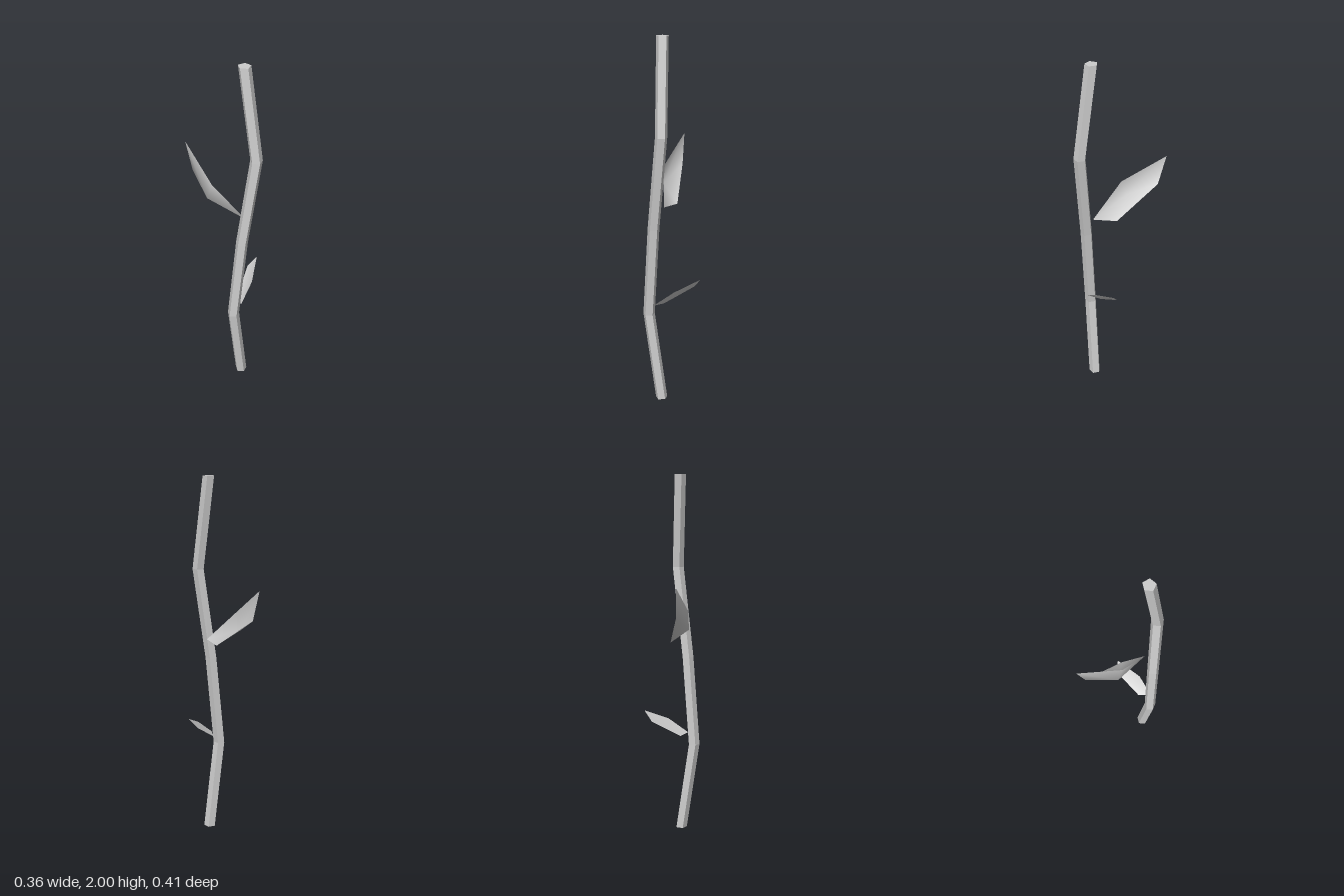
import * as THREE from 'three';

const V = (x, y, z) => new THREE.Vector3(x, y, z);

// Five-sided stem whose level rings follow a crooked centre line
function makeStem(centres, radius) {
  const geo = new THREE.CylinderGeometry(radius, radius, 2, 5, centres.length - 1, false, Math.PI / 2);
  geo.translate(0, 1, 0);
  const pos = geo.attributes.position;
  for (let i = 0; i < pos.count; i++) {
    const [x, z] = centres[Math.round(pos.getY(i) / 2 * (centres.length - 1))];
    pos.setX(i, pos.getX(i) + x);
    pos.setZ(i, pos.getZ(i) + z);
  }
  geo.computeVertexNormals();
  const mesh = new THREE.Mesh(geo, new THREE.MeshStandardMaterial({ color: 0xcccccc, flatShading: true }));
  mesh.name = 'stem';
  return mesh;
}

// Cupped leaf: a fan from the bulging middle point to the outline
function makeLeaf(name, middle, outline) {
  const geo = new THREE.BufferGeometry().setFromPoints([middle, ...outline]);
  const index = [];
  const n = outline.length;
  for (let i = 0; i < n; i++) index.push(0, 1 + i, 1 + (i + 1) % n);
  geo.setIndex(index);
  geo.computeVertexNormals();
  const mesh = new THREE.Mesh(geo, new THREE.MeshStandardMaterial({ color: 0xcccccc, side: THREE.DoubleSide }));
  mesh.name = name;
  return mesh;
}

export function createModel() {
  const group = new THREE.Group();
  group.name = 'twig';

  // Stem centres (x, z) at equal heights from the ground up
  group.add(makeStem([[0.051, 0.133], [-0.008, 0.172], [0.037, 0.17], [0.106, 0.168], [0.052, 0.117]], 0.033));

  // Outlines run base, inner edge, shoulder, tip, outer edge
  group.add(makeLeaf('upperLeaf', V(-0.11, 1.19, -0.006), [
    V(0.065, 1.115, 0.12), V(0.022, 1.105, 0), V(-0.152, 1.27, -0.17),
    V(-0.181, 1.433, -0.205), V(-0.088, 1.286, 0.014),
  ]));
  group.add(makeLeaf('lowerLeaf', V(0.085, 0.597, 0.075), [
    V(0.035, 0.56, 0.175), V(0.031, 0.555, 0.1), V(0.127, 0.652, -0.037),
    V(0.18, 0.708, -0.037), V(0.117, 0.645, 0.097),
  ]));
  return group;
}
